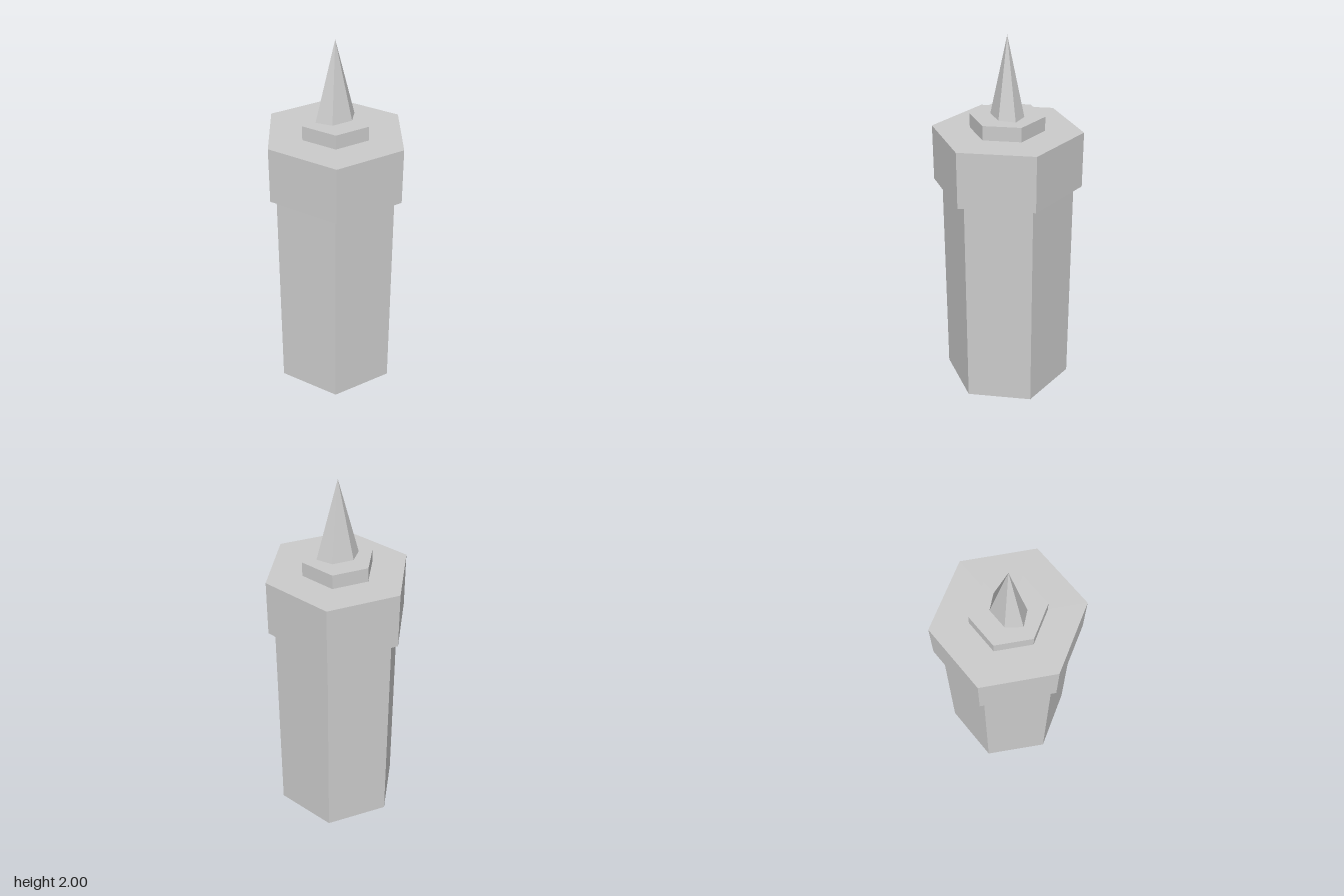
import * as THREE from 'three';

const material = new THREE.MeshStandardMaterial({ color: 0xcccccc, flatShading: true });

// Six-sided prism or spire with corners on the x axis; halfX to the corners, halfZ to the flats
function hexPart(name, halfX, halfZ, bottom, top, topScale = 1) {
  const geometry = new THREE.CylinderGeometry(topScale, 1, top - bottom, 6, 1, false, Math.PI / 2);
  geometry.scale(halfX, 1, halfZ / Math.sin(Math.PI / 3));
  geometry.translate(0, (bottom + top) / 2, 0);
  const mesh = new THREE.Mesh(geometry, material);
  mesh.name = name;
  return mesh;
}

export function createModel() {
  const tower = new THREE.Group();
  tower.name = 'tower';
  tower.add(
    hexPart('shaft', 0.348, 0.306, 0, 1.2),
    hexPart('collar', 0.384, 0.346, 1.2, 1.505),
    hexPart('spireBase', 0.191, 0.171, 1.505, 1.582),
    hexPart('spire', 0.114, 0.071, 1.582, 2, 0),
  );
  return tower;
}
